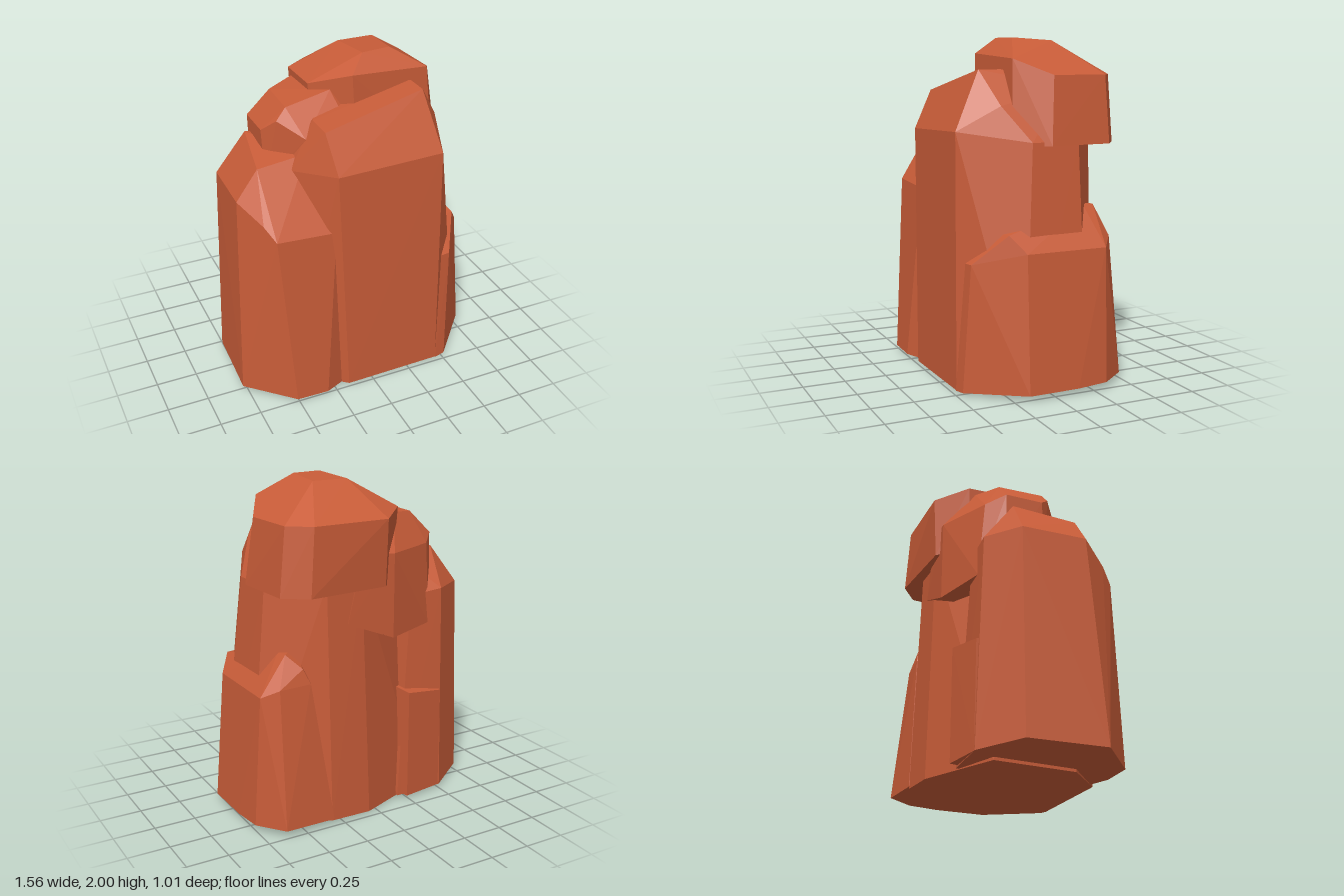
import * as THREE from 'three';
import { ConvexGeometry } from 'three/addons/geometries/ConvexGeometry.js';

const rock = new THREE.MeshStandardMaterial({ color: 0xc85c38, flatShading: true });
rock.name = 'red sandstone';

// Each boulder is the convex hull of its corners [x, y, z]
function boulder(name, corners) {
  const geo = new ConvexGeometry(corners.map(c => new THREE.Vector3(...c)));
  const mesh = new THREE.Mesh(geo, rock);
  mesh.name = name;
  return mesh;
}

export function createModel() {
  const group = new THREE.Group();
  group.name = 'rockFormation';

  group.add(boulder('mainColumn', [
    // foot
    [-0.16, 0.01, 0.485], [0.45, 0.01, 0.475], [0.74, 0.03, 0.18], [0.73, 0.03, -0.22],
    [0.32, 0.02, -0.47], [0.06, 0.01, -0.46], [-0.45, 0, -0.25], [-0.42, 0, 0.25],
    // shoulder
    [-0.22, 1.46, 0.465], [0.43, 1.48, 0.465], [0.5, 1.62, 0.22], [0.615, 1.42, 0.08],
    [0.61, 1.42, -0.21], [0.33, 1.45, -0.43], [0.1, 1.45, -0.425], [-0.4, 1.4, -0.1],
    [-0.41, 1.43, 0.22],
    // crown
    [-0.25, 1.69, 0.35], [0.37, 1.82, 0.3], [0.37, 1.82, 0.16], [-0.25, 1.69, 0.17],
    [0.45, 1.72, -0.2], [0, 1.72, -0.3],
  ]));

  group.add(boulder('capBoulder', [
    // underside
    [-0.18, 1.4, -0.3], [-0.03, 1.4, -0.47], [0.47, 1.4, -0.51], [0.61, 1.4, -0.41],
    [0.64, 1.4, -0.03], [0.52, 1.4, 0.16], [0.02, 1.4, 0.18], [-0.17, 1.4, 0],
    // shoulder
    [-0.2, 1.82, -0.32], [-0.03, 1.79, -0.49], [0.44, 1.79, -0.495], [0.57, 1.79, -0.4],
    [0.595, 1.79, -0.06], [0.48, 1.88, 0.14], [0, 1.91, 0.16], [-0.2, 1.83, -0.02],
    // crown
    [0.07, 1.985, -0.2], [0.29, 1.985, -0.2], [0.28, 2, 0.05], [0.1, 2, 0.07],
  ]));

  group.add(boulder('middleBoulder', [
    // underside
    [-0.5, 1.2, -0.2], [-0.42, 1.1, -0.34], [-0.1, 1.08, -0.45], [0.2, 1.2, -0.44],
    [0.1, 1.1, 0.1], [-0.3, 1.2, 0.2], [-0.5, 1.3, 0.05],
    // shoulder
    [-0.51, 1.62, -0.2], [-0.42, 1.58, -0.3], [-0.1, 1.58, -0.45], [0.1, 1.6, -0.44],
    [-0.51, 1.62, 0.03], [-0.44, 1.69, 0.1], [-0.31, 1.6, 0.21], [-0.05, 1.65, 0.18],
    // crown
    [-0.37, 1.76, -0.19], [-0.38, 1.76, 0.09], [-0.2, 1.78, -0.28], [-0.1, 1.81, 0.07],
    [-0.02, 1.77, -0.3], [-0.02, 1.78, 0.05],
  ]));

  group.add(boulder('sideColumn', [
    // foot
    [-0.78, 0.035, 0.27], [-0.76, 0.035, -0.2], [-0.51, 0.02, -0.38], [-0.2, 0.01, -0.37],
    [-0.17, 0.01, 0.44], [-0.31, 0.015, 0.505], [-0.51, 0.02, 0.505],
    // shoulder
    [-0.73, 1.29, 0.2], [-0.72, 1.29, -0.19], [-0.51, 1.3, -0.34], [-0.3, 1.28, -0.33],
    [-0.16, 1.09, 0.3], [-0.22, 1.09, 0.43], [-0.58, 1.11, 0.43], [-0.63, 1.19, 0.36],
    // crown
    [-0.6, 1.47, 0.2], [-0.54, 1.53, -0.17], [-0.3, 1.5, -0.18], [-0.3, 1.5, 0.19],
  ]));

  group.add(boulder('lowColumn', [
    // foot
    [0.45, 0.01, 0.48], [0.52, 0.015, 0.465], [0.78, 0.035, 0.17], [0.775, 0.035, -0.14],
    [0.755, 0.04, -0.33], [0.63, 0.04, -0.49], [0.31, 0.03, -0.475], [0.35, 0.02, 0],
    // shoulder
    [0.48, 0.75, 0.43], [0.54, 0.75, 0.42], [0.72, 0.82, 0.16], [0.71, 0.82, -0.34],
    [0.62, 0.87, -0.41], [0.43, 0.88, -0.42],
    // crown
    [0.65, 0.92, 0.24], [0.56, 0.92, 0.26], [0.56, 1.05, -0.27], [0.55, 1.05, -0.34],
    [0.47, 0.97, -0.4], [0.45, 1.05, -0.25],
  ]));

  // Thin slab leaning on the back
  group.add(boulder('backSlab', [
    [-0.5, 0.02, -0.38], [-0.5, 0.66, -0.375], [-0.24, 0.02, -0.42], [-0.24, 0.7, -0.42],
    [-0.5, 0.02, -0.25], [-0.5, 0.68, -0.25], [-0.2, 0.02, -0.25], [-0.2, 0.72, -0.25],
  ]));

  return group;
}
